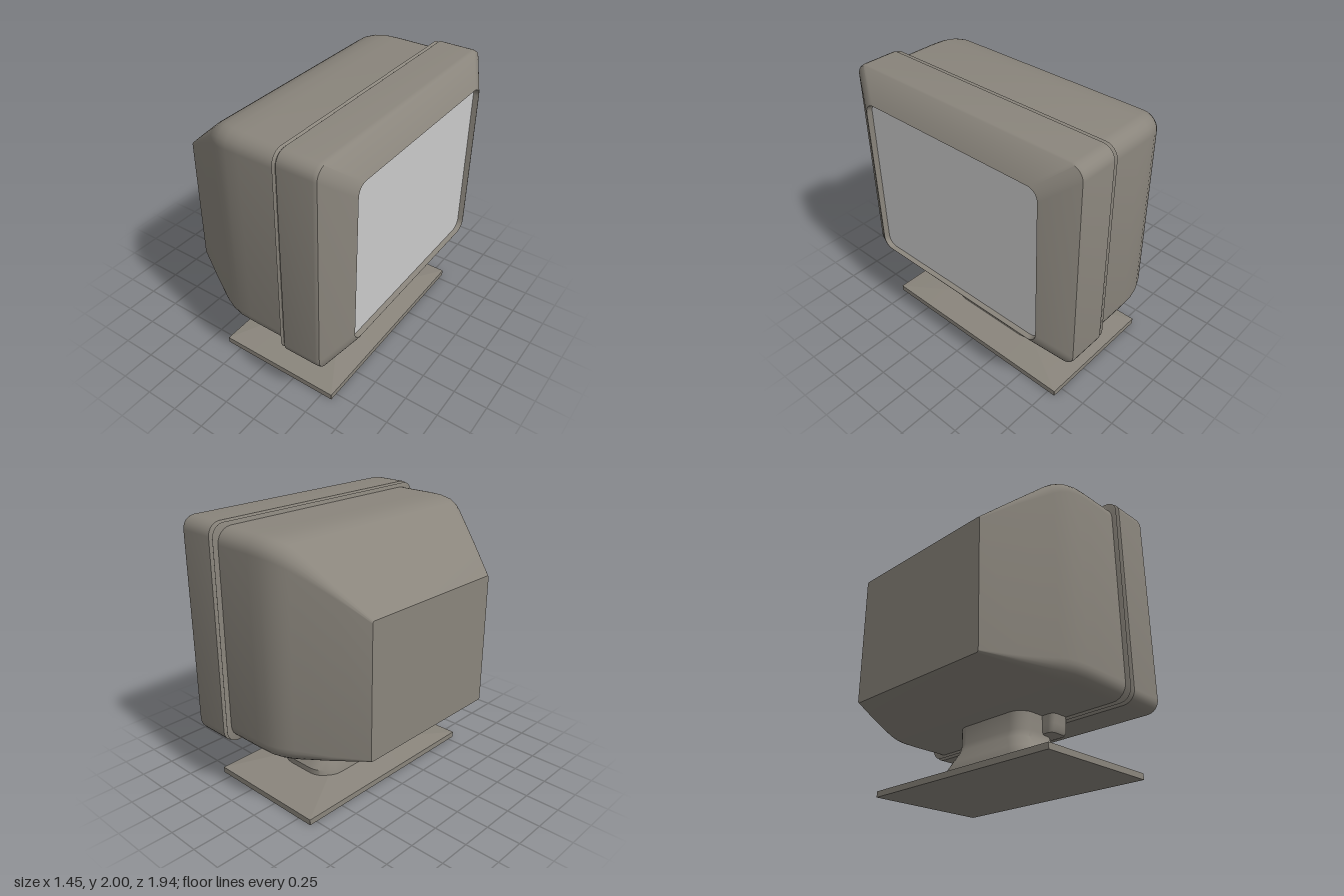
import * as THREE from 'three';
import { toCreasedNormals } from 'three/addons/utils/BufferGeometryUtils.js';

const casing = new THREE.MeshStandardMaterial({ color: 0x8a857c });
const casingThin = new THREE.MeshStandardMaterial({ color: 0x8a857c, side: THREE.DoubleSide });
const glass = new THREE.MeshStandardMaterial({ color: 0xcccccc });
const SEG = 6;

// Rounded rectangle in a (u, v) plane, counter-clockwise
function ring(u0, u1, v0, v1, r) {
  const corners = [[u1 - r, v1 - r], [u0 + r, v1 - r], [u0 + r, v0 + r], [u1 - r, v0 + r]];
  return corners.flatMap(([u, v], k) => Array.from({ length: SEG + 1 }, (_, i) => {
    const a = (k + i / SEG) * Math.PI / 2;
    return [u + r * Math.cos(a), v + r * Math.sin(a)];
  }));
}

// Cross-section facing +x: height range, half depth, corner radius
const sectionX = ([x, y0, y1, z, r]) => ring(y0, y1, -z, z, r).map(([u, v]) => [x, u, v]);
// Cross-section facing +y: x range, half depth, corner radius
const sectionY = ([y, x0, x1, z, r]) => ring(-z, z, x0, x1, r).map(([u, v]) => [v, y, u]);

// Skin a list of cross-sections, with optional end caps and one skipped quad
function loft(sections, { start = true, end = true, skip = null, crease = 0.6 } = {}) {
  const n = sections[0].length, pos = sections.flat(2), idx = [];
  for (let i = 0; i < sections.length - 1; i++) {
    for (let j = 0; j < n; j++) {
      if (skip && skip[0] === i && skip[1] === j) continue;
      const k = (j + 1) % n, a = i * n + j, b = i * n + k;
      idx.push(a, b, b + n, a, b + n, a + n);
    }
  }
  const cap = (s, flip) => {
    const c = pos.length / 3;
    for (let d = 0; d < 3; d++) pos.push(sections[s].reduce((t, p) => t + p[d], 0) / n);
    for (let j = 0; j < n; j++) {
      const a = s * n + j, b = s * n + (j + 1) % n;
      idx.push(c, flip ? b : a, flip ? a : b);
    }
  };
  if (start) cap(0, true);
  if (end) cap(sections.length - 1, false);
  const g = new THREE.BufferGeometry();
  g.setAttribute('position', new THREE.Float32BufferAttribute(pos, 3));
  g.setIndex(idx);
  return toCreasedNormals(g, crease);
}

export function createModel() {
  const model = new THREE.Group();
  const add = (name, geometry, material = casing) => {
    const mesh = new THREE.Mesh(geometry, material);
    mesh.name = name;
    model.add(mesh);
  };

  // Rear housing, tapering to a flat back
  add('rearHousing', loft([
    [-0.727, 0.56, 1.525, 0.6, 0.015],
    [-0.5, 0.517, 1.72, 0.735, 0.05],
    [-0.29, 0.478, 1.9, 0.86, 0.1],
    [-0.245, 0.47, 1.932, 0.885, 0.11],
    [-0.18, 0.465, 1.953, 0.911, 0.11],
    [-0.1, 0.46, 1.963, 0.927, 0.11],
    [0.0, 0.458, 1.966, 0.93, 0.11],
    [0.33, 0.456, 1.966, 0.93, 0.11],
  ].map(sectionX)));

  // Thin flared lip along the seam
  add('seamLip', loft([
    [0.282, 0.445, 1.985, 0.955, 0.09],
    [0.286, 0.436, 1.994, 0.966, 0.09],
    [0.302, 0.445, 1.985, 0.955, 0.09],
  ].map(sectionX)));

  // Front bezel: outer band, sloped frame, then the recess down to the screen
  add('bezel', loft([
    [0.31, 0.445, 1.985, 0.955, 0.08],
    [0.318, 0.43, 2.0, 0.97, 0.09],
    [0.57, 0.43, 2.0, 0.97, 0.09],
    [0.585, 0.431, 1.998, 0.968, 0.09],
    [0.597, 0.437, 1.993, 0.963, 0.085],
    [0.722, 0.595, 1.83, 0.765, 0.08],
    [0.727, 0.605, 1.82, 0.75, 0.075],
    [0.69, 0.61, 1.815, 0.74, 0.07],
  ].map(sectionX), { end: false, skip: [4, 2 * SEG + 1] }));
  add('screen', loft([sectionX([0.69, 0.61, 1.815, 0.74, 0.07])], { start: false }), glass);

  // Lower slope of the bezel, pierced by the grip slot
  const at = (t) => [0.597 + 0.125 * t, 0.437 + 0.158 * t];
  const t0 = 0.4, t1 = 0.65, w0 = 0.37, w1 = 0.34;
  const trapezoid = (a, b, s, e) => [[-a, s], [a, s], [b, e], [-b, e]].map((p) => new THREE.Vector2(...p));
  const shape = new THREE.Shape(trapezoid(0.878, 0.685, 0, 1));
  shape.holes.push(new THREE.Path(trapezoid(w0, w1, t0, t1)));
  const slope = new THREE.ShapeGeometry(shape);
  const p = slope.attributes.position;
  for (let i = 0; i < p.count; i++) {
    const [x, y] = at(p.getY(i));
    p.setXYZ(i, x, y, -p.getX(i));
  }
  slope.computeVertexNormals();
  add('bezelLowerSlope', slope);

  // Inside of the grip slot: back wall, ceiling and both ends
  const [xa, ya] = at(t0), [xc, yc] = at(t1);
  const slot = new THREE.BufferGeometry();
  slot.setAttribute('position', new THREE.Float32BufferAttribute([
    xa, ya, -w0, xa, yc, -w1, xc, yc, -w1,
    xa, ya, w0, xa, yc, w1, xc, yc, w1,
  ], 3));
  slot.setIndex([0, 1, 4, 0, 4, 3, 1, 2, 5, 1, 5, 4, 0, 2, 1, 3, 4, 5]);
  add('gripSlot', toCreasedNormals(slot, 0.3), casingThin);

  // Hinge cover under the bezel
  add('hingeCover', loft([
    [0.32, 0.16, 0.285, 0.38, 0.03],
    [0.326, 0.152, 0.302, 0.402, 0.035],
    [0.345, 0.15, 0.312, 0.412, 0.04],
    [0.39, 0.15, 0.312, 0.416, 0.04],
    [0.47, 0.15, 0.312, 0.424, 0.04],
  ].map(sectionY)));

  // Flared neck
  add('neck', loft([
    [0.05, -0.15, 0.37, 0.45, 0.16],
    [0.12, -0.142, 0.37, 0.45, 0.16],
    [0.2, -0.11, 0.335, 0.39, 0.14],
    [0.28, -0.077, 0.307, 0.327, 0.12],
    [0.33, -0.06, 0.29, 0.322, 0.11],
    [0.49, -0.058, 0.25, 0.322, 0.11],
  ].map(sectionY)));

  // Base plate with a shallow pyramid top
  add('base', loft([
    [0, -0.365, 0.583, 0.81, 0.003],
    [0.043, -0.365, 0.583, 0.81, 0.003],
    [0.12, 0.1, 0.12, 0.01, 0.003],
  ].map(sectionY), { crease: 0.1 }));

  return model;
}
